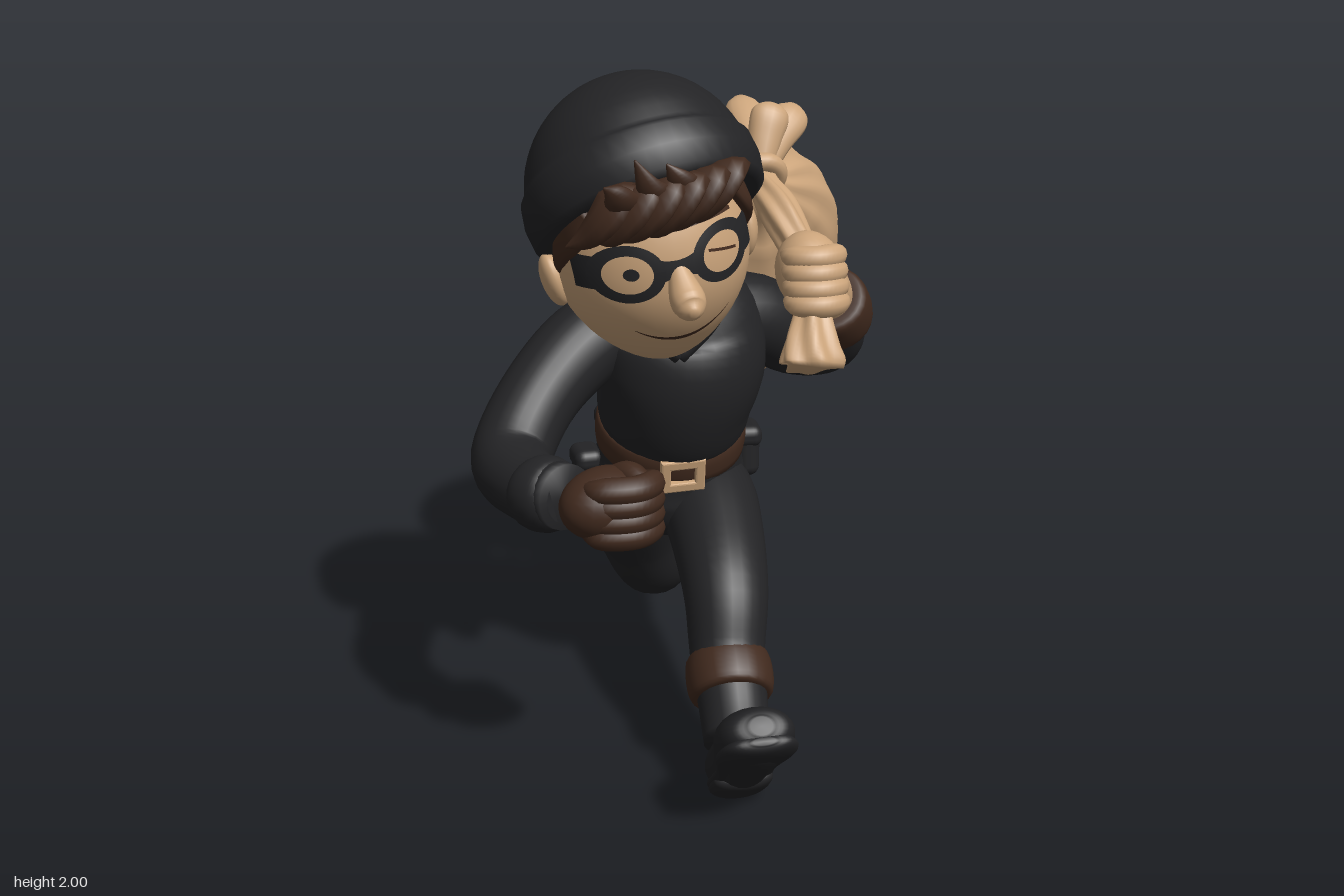
import * as THREE from 'three';
import { RoundedBoxGeometry } from 'three/addons/geometries/RoundedBoxGeometry.js';

const black = new THREE.MeshStandardMaterial({ color: 0x232325 });
const brown = new THREE.MeshStandardMaterial({ color: 0x412a1e });
const tan = new THREE.MeshStandardMaterial({ color: 0xcba47b });
black.name = 'black cloth'; brown.name = 'brown leather'; tan.name = 'tan';
const V = (x, y, z) => new THREE.Vector3(x, y, z);

function add(parent, name, geo, mat, pos = [0, 0, 0], rot = [0, 0, 0]) {
  const m = new THREE.Mesh(geo, mat);
  m.name = name; m.position.set(...pos); m.rotation.set(...rot);
  parent.add(m);
}

function meshFrom(pos, idx) {
  const g = new THREE.BufferGeometry();
  g.setAttribute('position', new THREE.Float32BufferAttribute(pos, 3));
  g.setIndex(idx); g.computeVertexNormals();
  return g;
}

// Smooth swept body through [x, y, z, halfWidth, halfDepth] stations, capped at both ends
function sweep(stations, { ref = V(1, 0, 0), sides = 24, steps = 6, bump = () => 1 } = {}) {
  const path = new THREE.CatmullRomCurve3(stations.map(s => V(s[0], s[1], s[2])), false, 'catmullrom', 0.5);
  const size = new THREE.CatmullRomCurve3(stations.map(s => V(s[3], s[4] ?? s[3], 0)), false, 'catmullrom', 0.5);
  const n = (stations.length - 1) * steps, pos = [], idx = [], a = ref.clone();
  for (let i = 0; i <= n; i++) {
    const c = path.getPoint(i / n), r = size.getPoint(i / n), t = path.getTangent(i / n);
    a.addScaledVector(t, -a.dot(t)).normalize();
    const b = t.clone().cross(a);
    for (let j = 0; j < sides; j++) {
      const th = j / sides * Math.PI * 2, k = bump(i / n, th);
      const p = c.clone().addScaledVector(a, Math.max(r.x, 0.002) * k * Math.cos(th))
        .addScaledVector(b, Math.max(r.y, 0.002) * k * Math.sin(th));
      pos.push(p.x, p.y, p.z);
      if (i < n) {
        const p0 = i * sides + j, p1 = i * sides + (j + 1) % sides;
        idx.push(p0, p1, p0 + sides, p1, p1 + sides, p0 + sides);
      }
    }
  }
  for (const [i, flip] of [[0, true], [n, false]]) {
    const c = path.getPoint(i / n), o = i * sides, centre = pos.length / 3;
    pos.push(c.x, c.y, c.z);
    for (let j = 0; j < sides; j++) {
      const p = o + j, q = o + (j + 1) % sides;
      idx.push(centre, flip ? q : p, flip ? p : q);
    }
  }
  return meshFrom(pos, idx);
}

// Turned-up band between two points
function cuff(g, name, p, q, r) {
  const at = (t, k) => [...V(...p).lerp(V(...q), t).toArray(), r * k];
  add(g, name, sweep([at(0, 0.7), at(0.04, 0.95), at(0.3, 1.03), at(0.7, 1.03), at(0.96, 0.95), at(1, 0.7)], { steps: 3 }), brown);
}

// Foot with a rounded sole and heel block; n points out of the sole
function foot(g, name, heel, toe, n) {
  const at = (t, a, b, off) => [...V(...heel).lerp(V(...toe), t).addScaledVector(V(...n), off).toArray(), a, b];
  const rows = [[0, 0.04, 0.03], [0.07, 0.088, 0.075], [0.4, 0.085, 0.088], [0.75, 0.11, 0.08], [0.95, 0.085, 0.055], [1, 0.03, 0.025]];
  add(g, name, sweep(rows.map(([t, a, b]) => at(t, a, b, 0))), black);
  add(g, name + 'Sole', sweep(rows.map(([t, a]) => at(t, a * 1.02, a * 0.32, 0.042))), black);
  add(g, name + 'Heel', sweep([at(0, 0.05, 0.02, 0.055), at(0.05, 0.085, 0.035, 0.055), at(0.25, 0.085, 0.035, 0.055), at(0.3, 0.05, 0.02, 0.05)]), black);
}

// Head surface: ellipsoid with a tapered jaw
const jaw = Y => 1 - 0.24 * Math.max(0, -Y) ** 2;
function shapeHead(geo, s = 1) {
  const p = geo.attributes.position;
  for (let i = 0; i < p.count; i++) {
    const Y = p.getY(i), k = jaw(Y) * s;
    p.setXYZ(i, p.getX(i) * 0.275 * k, Y * 0.325 * s, p.getZ(i) * 0.27 * k);
  }
  geo.computeVertexNormals();
  return geo;
}
function faceZ(x, y) {
  const Y = y / 0.325, k = jaw(Y);
  return 0.27 * k * Math.sqrt(Math.max(0, 1 - (x / (0.275 * k)) ** 2 - Y * Y));
}

// Thin painted piece that follows the face; fn(u, v) gives [x, y]
function patch(nu, nv, fn, lift = 0.006) {
  const pos = [], idx = [];
  for (let j = 0; j <= nv; j++) for (let i = 0; i <= nu; i++) {
    const [x, y] = fn(i / nu, j / nv);
    pos.push(x, y, faceZ(x, y) + lift);
    if (i < nu && j < nv) {
      const a = j * (nu + 1) + i, b = a + nu + 1;
      idx.push(a, a + 1, b, a + 1, b + 1, b);
    }
  }
  return meshFrom(pos, idx);
}
const ring = (cx, cy, r0, r1) => (u, v) => {
  const t = -u * Math.PI * 2, r = r0 + (r1 - r0) * v;
  return [cx + r * Math.cos(t), cy + r * 0.84 * Math.sin(t)];
};
const strip = (x0, x1, mid, half) => (u, v) => {
  const x = x0 + (x1 - x0) * u;
  return [x, mid(x) + (v - 0.5) * 2 * half(u)];
};
const ball = (rx, ry, rz) => new THREE.SphereGeometry(1, 24, 16).scale(rx, ry, rz);

function buildHead(g) {
  const head = new THREE.Group();
  head.name = 'head'; head.position.set(-0.13, 1.52, 0.28); head.rotation.set(0.1, 0.1, 0.17);
  g.add(head);
  add(head, 'face', shapeHead(new THREE.SphereGeometry(1, 40, 28)), tan);
  add(head, 'nose', sweep([[0, 0.06, 0.235, 0.022], [0, 0.02, 0.262, 0.032], [0, -0.03, 0.298, 0.047], [0, -0.05, 0.33, 0.041], [0, -0.056, 0.358, 0.012]], { sides: 18 }), tan);
  for (const s of [-1, 1]) {
    add(head, 'ear', ball(0.035, 0.08, 0.055), tan, [s * 0.28, -0.02, -0.01], [0, 0, -s * 0.15]);
    // mask: eye ring and a side strap that widens outward
    add(head, 'maskRing', patch(36, 3, ring(s * 0.132, 0.045, 0.062, 0.094), 0.009), black);
    const a = s < 0 ? -0.25 : 0.205, b = s < 0 ? -0.205 : 0.25;
    add(head, 'maskStrap', patch(12, 3, strip(a, b, () => 0.05, () => 0.045), 0.009), black);
    add(head, 'eyebrow', patch(12, 2, strip(s * 0.12 - 0.068, s * 0.12 + 0.068, x => 0.152 - 3 * (x - s * 0.11) ** 2, u => 0.004 + 0.012 * Math.sin(u * Math.PI)), 0.008), brown);
    // hair in front of the ear
    add(head, 'sideburn', sweep([[s * 0.19, 0.23, 0.15, 0.03, 0.06], [s * 0.228, 0.17, 0.12, 0.026, 0.075],
      [s * 0.256, 0.11, 0.08, 0.022, 0.055], [s * 0.27, 0.05, 0.05, 0.014, 0.025], [s * 0.272, 0.02, 0.045, 0.003]], { sides: 14 }), brown);
  }
  add(head, 'maskBridge', patch(8, 3, strip(-0.065, 0.065, () => 0.045, u => 0.022 + 0.06 * (u - 0.5) ** 2), 0.009), black);
  add(head, 'pupil', patch(16, 1, ring(-0.125, 0.045, 0, 0.02)), black);
  add(head, 'squintLine', patch(10, 1, strip(0.09, 0.18, x => 0.05 - (x - 0.135) * 0.3, () => 0.004)), brown);
  add(head, 'smile', patch(20, 1, strip(-0.13, 0.14, x => -0.182 + 3 * x * x, u => 0.001 + 0.005 * Math.sin(u * Math.PI))), brown);

  // hair under the hat, with swept tufts and upright spikes over the brim
  add(head, 'hair', shapeHead(new THREE.SphereGeometry(1, 36, 18, 0, Math.PI * 2, 0, 1.3).rotateX(-0.35), 1.04), brown);
  for (let i = 0; i < 6; i++) {
    const x = -0.16 + i * 0.058, z = 0.325 - 1.6 * x * x;
    add(head, 'hairTuft', sweep([[x + 0.05, 0.24, z - 0.08, 0.05, 0.03], [x + 0.03, 0.285, z - 0.005, 0.06, 0.03], [x - 0.02, 0.24, z + 0.01, 0.055, 0.03],
      [x - 0.07, 0.19, z - 0.02, 0.035, 0.022], [x - 0.12, 0.165 + 0.02 * (i % 2), z - 0.05, 0.003]], { sides: 10, steps: 4 }), brown);
  }
  for (const [x, y] of [[-0.08, 0.385], [0, 0.355], [-0.17, 0.335]])
    add(head, 'hairSpike', sweep([[x + 0.06, 0.23, 0.25, 0.05, 0.03], [x + 0.04, 0.27, 0.315, 0.048, 0.028], [x + 0.015, 0.31, 0.335, 0.034, 0.02], [x - 0.01, y, 0.335, 0.003]], { sides: 10 }), brown);

  // knitted hat with a folded brim
  const profile = [[0.24, -0.09], [0.3, -0.1], [0.328, -0.08], [0.337, -0.02], [0.33, 0.04], [0.317, 0.055], [0.312, 0.07]];
  for (let i = 1; i <= 12; i++) {
    const t = 0.22 + (Math.PI / 2 - 0.22) * i / 12;
    profile.push([Math.max(0, 0.32 * Math.cos(t)), 0.32 * Math.sin(t)]);
  }
  add(head, 'hat', new THREE.LatheGeometry(profile.map(p => new THREE.Vector2(...p)), 48), black, [0.008, 0.167, -0.03], [-0.72, 0, 0]);
}

function buildBody(g) {
  add(g, 'torso', sweep([[0, 0.52, -0.1, 0.08, 0.09], [0, 0.61, -0.1, 0.2, 0.215], [0, 0.72, -0.08, 0.235, 0.25], [0, 0.8, -0.06, 0.22, 0.235], [0, 0.88, -0.045, 0.215, 0.225],
    [0, 0.95, -0.02, 0.23, 0.245], [0, 1.02, 0.02, 0.235, 0.25], [0.01, 1.13, 0.06, 0.25, 0.24], [0.01, 1.25, 0.07, 0.23, 0.2], [-0.02, 1.35, 0.1, 0.15, 0.15], [-0.04, 1.4, 0.13, 0.09, 0.09]], { sides: 36 }), black);
  add(g, 'neck', sweep([[-0.03, 1.25, 0.12, 0.1], [-0.06, 1.42, 0.18, 0.12]]), tan);
  // standing collar, open at the front
  for (const s of [-1, 1])
    add(g, 'collar', sweep([[-0.05, 1.2, 0.29, 0.02], [-0.05 + s * 0.09, 1.29, 0.26, 0.03, 0.05], [-0.05 + s * 0.15, 1.345, 0.14, 0.03, 0.06],
      [-0.05 + s * 0.11, 1.39, 0.04, 0.03, 0.06], [-0.05, 1.405, 0.015, 0.03, 0.06]], { sides: 14 }), black);
  // belt, buckle and pouches
  add(g, 'belt', sweep([[0, 0.825, -0.065, 0.2, 0.21], [0, 0.829, -0.064, 0.228, 0.242], [0, 0.902, -0.043, 0.228, 0.242], [0, 0.906, -0.042, 0.2, 0.21]], { sides: 40, steps: 3 }), brown);
  const frame = new THREE.Shape([[-0.062, -0.05], [0.062, -0.05], [0.062, 0.05], [-0.062, 0.05]].map(p => new THREE.Vector2(...p)));
  frame.holes.push(new THREE.Path([[-0.042, -0.03], [-0.042, 0.03], [0.042, 0.03], [0.042, -0.03]].map(p => new THREE.Vector2(...p))));
  add(g, 'buckle', new THREE.ExtrudeGeometry(frame, { depth: 0.02, bevelSize: 0.005, bevelThickness: 0.005, bevelSegments: 2 }), tan, [-0.015, 0.802, 0.172], [0.25, 0, 0.03]);
  for (const [x, y, z, ry] of [[-0.255, 0.72, -0.1, -1.5], [0.245, 0.77, -0.07, 1.5], [0.13, 0.78, -0.295, 2.8], [-0.13, 0.78, -0.295, -2.8]]) {
    add(g, 'pouch', new RoundedBoxGeometry(0.11, 0.17, 0.08, 3, 0.035), black, [x, y, z], [0, ry, 0]);
    add(g, 'pouchFlap', new RoundedBoxGeometry(0.122, 0.07, 0.092, 3, 0.03), black, [x, y + 0.05, z], [0, ry, 0]);
  }
}

function buildArms(g) {
  const up = { ref: V(0, 1, 0) };
  add(g, 'rightArm', sweep([[-0.08, 1.23, 0.05, 0.13], [-0.25, 1.2, 0.05, 0.13], [-0.42, 1.09, 0.16, 0.118], [-0.535, 0.95, 0.3, 0.115], [-0.51, 0.92, 0.46, 0.1], [-0.43, 0.935, 0.6, 0.09]], up), black);
  add(g, 'rightSleeveFold', sweep([[-0.5, 0.92, 0.49, 0.09], [-0.485, 0.922, 0.52, 0.105], [-0.455, 0.925, 0.56, 0.1], [-0.43, 0.93, 0.59, 0.07]], up), black);
  add(g, 'rightGlove', ball(0.135, 0.098, 0.105), brown, [-0.335, 0.94, 0.67], [0, 0.45, 0]);
  for (let i = 0; i < 4; i++) {
    const y = 1.0 - i * 0.042;
    add(g, 'gloveFinger', sweep([[-0.4, y, 0.7, 0.015], [-0.36, y, 0.74, 0.036], [-0.27, y, 0.747, 0.038], [-0.215, y, 0.7, 0.034], [-0.225, y, 0.64, 0.012]], { ref: V(0, 1, 0), sides: 12 }), brown);
  }
  add(g, 'gloveThumb', sweep([[-0.32, 1.0, 0.62, 0.02], [-0.27, 1.015, 0.67, 0.035], [-0.24, 0.99, 0.73, 0.028], [-0.235, 0.965, 0.755, 0.008]], { sides: 12 }), brown);

  add(g, 'leftArm', sweep([[0.08, 1.24, 0.05, 0.13], [0.24, 1.22, 0, 0.13], [0.39, 1.13, -0.05, 0.118], [0.48, 1.13, -0.02, 0.108], [0.475, 1.2, 0.05, 0.102], [0.43, 1.3, 0.14, 0.085]], up), black);
  cuff(g, 'leftCuff', [0.482, 1.215, 0.075], [0.425, 1.31, 0.16], 0.114);
  add(g, 'leftWrist', sweep([[0.44, 1.28, 0.13, 0.075], [0.4, 1.35, 0.19, 0.08], [0.35, 1.42, 0.24, 0.075]]), tan);
  add(g, 'leftHand', ball(0.1, 0.12, 0.1), tan, [0.345, 1.415, 0.24], [-0.4, 0, 0.2]);
  for (let i = 0; i < 4; i++) {
    const y = 1.475 - i * 0.042, z = 0.245 + i * 0.014;
    add(g, 'leftFinger', sweep([[0.425, y, z, 0.015], [0.4, y, z + 0.05, 0.034], [0.34, y, z + 0.075, 0.036], [0.28, y, z + 0.05, 0.033], [0.262, y, z, 0.012]], { ref: V(0, 1, 0), sides: 12 }), tan);
  }
}

function buildLegs(g) {
  add(g, 'leftLeg', sweep([[0.1, 0.67, -0.1, 0.12], [0.1, 0.65, 0.02, 0.15], [0.09, 0.59, 0.2, 0.14], [0.07, 0.5, 0.38, 0.125], [0.05, 0.36, 0.48, 0.11], [0.04, 0.25, 0.59, 0.1], [0.03, 0.18, 0.68, 0.095]]), black);
  cuff(g, 'leftTrouserCuff', [0.05, 0.34, 0.475], [0.04, 0.265, 0.58], 0.122);
  foot(g, 'leftBoot', [0.03, 0.068, 0.64], [0.02, 0.39, 0.96], [0, -0.7, 0.7]);
  add(g, 'rightLeg', sweep([[-0.1, 0.7, -0.12, 0.13], [-0.1, 0.6, -0.16, 0.165], [-0.06, 0.46, -0.23, 0.142], [0, 0.31, -0.32, 0.128], [0.04, 0.29, -0.44, 0.105], [0.07, 0.32, -0.58, 0.1], [0.09, 0.333, -0.7, 0.112], [0.1, 0.35, -0.81, 0.11]]), black);
  cuff(g, 'rightTrouserCuff', [0.065, 0.325, -0.55], [0.08, 0.335, -0.67], 0.13);
  foot(g, 'rightBoot', [0.1, 0.475, -0.805], [0.1, 0.012, -0.935], [0, 0.22, -0.95]);
}

function buildSack(g) {
  // [distance along axis, upward bulge, half depth, half width]
  const rows = [[0, 0, 0.05, 0.05], [0.05, 0.005, 0.1, 0.12], [0.15, 0.045, 0.2, 0.25], [0.3, 0.08, 0.29, 0.36], [0.5, 0.095, 0.34, 0.42],
    [0.7, 0.07, 0.36, 0.415], [0.9, 0.04, 0.31, 0.365], [1, 0.03, 0.235, 0.285], [1.06, 0.025, 0.12, 0.15], [1.08, 0.02, 0.01, 0.01]];
  const bump = (t, th) => 1 + 0.06 * Math.max(0, 1 - t * 2.6) * Math.cos(14 * th)
    + Math.min(1, (1 - t) * 4) * (0.025 * Math.sin(3 * th + 5 * t) * Math.sin(9 * t) + 0.018 * Math.sin(5 * th - 14 * t) + 0.012 * t * Math.sin(8 * th + 17 * t));
  add(g, 'sack', sweep(rows.map(([s, o, b, a]) => [0.27 - 0.085 * s, 1.63 - 0.71 * s + 0.7 * o, -0.06 - 0.7 * s - 0.7 * o, a, b]), { sides: 84, bump }), tan);
  const pleat = (t, th) => 1 + 0.1 * Math.cos(6 * th + 5 * t);
  add(g, 'twistedNeck', sweep([[0.27, 1.64, -0.1, 0.055], [0.275, 1.61, -0.01, 0.045], [0.295, 1.56, 0.08, 0.055], [0.325, 1.47, 0.19, 0.05]], { sides: 42, bump: pleat }), tan);
  add(g, 'knot', new THREE.TorusGeometry(0.058, 0.028, 12, 28), tan, [0.27, 1.635, -0.05], [0.55, 0, 0.1]);
  add(g, 'knotBead', ball(0.045, 0.04, 0.045), tan, [0.22, 1.65, -0.04]);
  // loose cloth ends
  for (const [x, y, z] of [[0.42, 1.82, -0.2], [0.29, 1.825, -0.35], [0.155, 1.79, -0.17], [0.33, 1.84, -0.14]])
    add(g, 'clothEnd', sweep([[0.27, 1.63, -0.06, 0.035], [0.27 * 0.55 + x * 0.45, 1.63 * 0.5 + y * 0.5, -0.06 * 0.55 + z * 0.45, 0.052, 0.04],
      [0.04 + x * 0.85, y - 0.035, z * 0.85, 0.058, 0.036], [x, y - 0.01, z, 0.025, 0.015]], { sides: 16 }), tan);
  add(g, 'hangingTail', sweep([[0.34, 1.38, 0.28, 0.05], [0.33, 1.31, 0.325, 0.055], [0.315, 1.24, 0.37, 0.078, 0.06], [0.31, 1.19, 0.395, 0.088, 0.065], [0.31, 1.195, 0.39, 0.04]], { sides: 42, bump: pleat }), tan);
}

export function createModel() {
  const g = new THREE.Group();
  g.name = 'runningBurglar';
  for (const build of [buildHead, buildBody, buildArms, buildLegs, buildSack]) build(g);
  return g;
}
